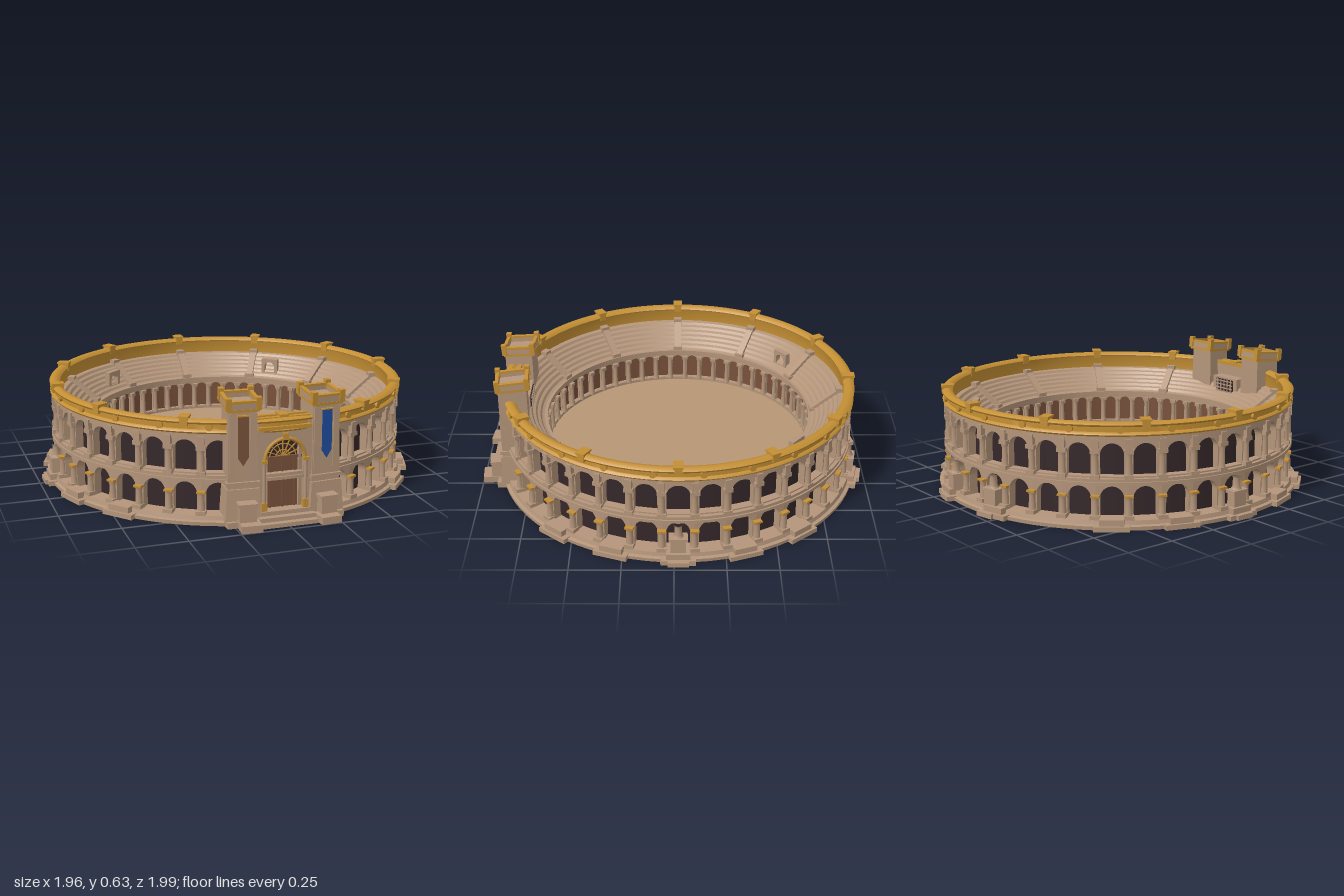
import * as THREE from 'three';
import { toCreasedNormals } from 'three/addons/utils/BufferGeometryUtils.js';

const mat = (name, color, side = THREE.FrontSide) => {
  const m = new THREE.MeshStandardMaterial({ color, side });
  m.name = name;
  return m;
};

export function createModel() {
  const stone = mat('stone', 0xb4957a);
  const sand = mat('sand', 0xb79675, THREE.DoubleSide);
  const gold = mat('gold', 0xc48f34);
  const shade = mat('dark opening', 0x35272a, THREE.DoubleSide);
  const wood = mat('brown wood', 0x79513b, THREE.DoubleSide);
  const blue = mat('blue banner', 0x1f4c9c, THREE.DoubleSide);

  const model = new THREE.Group();
  model.name = 'arena';
  const bowl = new THREE.Group();
  bowl.name = 'bowl';
  bowl.position.z = -0.02;
  const gate = new THREE.Group();
  gate.name = 'gate';
  model.add(bowl, gate);

  const add = (parent, name, geo, m, x = 0, y = 0, z = 0) => {
    const mesh = new THREE.Mesh(geo, m);
    mesh.name = name;
    mesh.position.set(x, y, z);
    parent.add(mesh);
    return mesh;
  };
  const box = (w, h, d) => new THREE.BoxGeometry(w, h, d);
  const lathe = (name, pts, m, crease = 0.5) => {
    const g = new THREE.LatheGeometry(pts.map(p => new THREE.Vector2(...p)), 80);
    return add(bowl, name, toCreasedNormals(g, crease), m);
  };
  // Closed ring with a rectangular section
  const band = (name, r0, r1, y0, y1, m) =>
    lathe(name, [[r0, y0], [r1, y0], [r1, y1], [r0, y1], [r0, y0]], m);
  // Place copies facing outward at given angles (0 = front)
  const place = (name, geo, m, angles, r, y) => {
    const g = new THREE.Group();
    g.name = name;
    bowl.add(g);
    for (const a of angles) {
      const o = add(g, name + 'Piece', geo, m, Math.sin(a) * r, y, Math.cos(a) * r);
      o.rotation.y = a;
    }
  };
  const around = (n, offset = 0, gap = 0) =>
    Array.from({ length: n }, (_, i) => (i + offset) / n * Math.PI * 2)
      .filter(a => Math.min(a, Math.PI * 2 - a) >= gap);
  // Flat wall piece with an arched hole, base at y = 0
  const archPanel = (w, h, ow, top, sill, depth) => {
    const s = new THREE.Shape();
    s.moveTo(-w / 2, 0); s.lineTo(w / 2, 0); s.lineTo(w / 2, h); s.lineTo(-w / 2, h); s.closePath();
    const hole = new THREE.Path(), r = ow / 2;
    hole.moveTo(-r, sill); hole.lineTo(-r, top - r);
    hole.absarc(0, top - r, r, Math.PI, 0, true);
    hole.lineTo(r, sill); hole.closePath();
    s.holes.push(hole);
    return new THREE.ExtrudeGeometry(s, { depth, bevelEnabled: false, curveSegments: 8 });
  };
  // Round column with flared foot and neck
  const column = (r, h) => new THREE.LatheGeometry([[1.35, 0], [1.3, 0.1], [1, 0.2], [0.85, 0.82], [1.2, 1]]
    .map(([x, y]) => new THREE.Vector2(x * r, y * h)), 10);

  // Floor, hollow underside and plinth
  lathe('floor', [[0.72, 0.12], [0, 0.12]], sand);
  lathe('underside', [[0, 0.105], [0.4, 0.1], [0.7, 0.075], [0.89, 0.012]], sand);
  lathe('plinth', [[0.885, 0.02], [0.892, 0], [0.94, 0], [0.942, 0.018], [0.925, 0.022], [0.92, 0.042],
    [0.8, 0.042]], stone);

  // Outer arcade in two storeys
  const N = 36, GAP = 0.14;
  const bays = around(N, 0, GAP), piers = around(N, 0.5, GAP);
  const width = 2 * 0.885 * Math.tan(Math.PI / N);
  lathe('arcadeShadow', [[0.838, 0.03], [0.838, 0.405]], shade);
  place('lowerArches', archPanel(width, 0.175, 0.112, 0.16, 0.006, 0.045), stone, bays, 0.84, 0.035);
  place('upperArches', archPanel(width, 0.183, 0.112, 0.17, 0.012, 0.042), stone, bays, 0.843, 0.23);
  place('lowerColumns', column(0.018, 0.11), stone, piers, 0.893, 0.04);
  place('upperColumns', column(0.017, 0.125), stone, piers, 0.89, 0.235);
  place('lowerBases', box(0.046, 0.022, 0.045), stone, piers, 0.897, 0.05);
  place('upperBases', box(0.042, 0.02, 0.04), stone, piers, 0.892, 0.243);
  place('lowerCapitals', box(0.042, 0.01, 0.038), gold, piers, 0.893, 0.15);
  place('upperCapitals', box(0.045, 0.02, 0.04), stone, piers, 0.89, 0.365);
  place('upperBrackets', box(0.032, 0.05, 0.035), stone, piers, 0.892, 0.4);
  band('stringCourse', 0.83, 0.913, 0.205, 0.22, stone);
  band('stringCourseLip', 0.83, 0.905, 0.22, 0.235, stone);
  band('frieze', 0.868, 0.902, 0.41, 0.44, stone);

  // Gilded parapet with rounded top, taller on its inner side
  lathe('parapet', [[0.864, 0.415], [0.88, 0.437], [0.908, 0.437], [0.914, 0.445], [0.908, 0.453], [0.9, 0.456],
    [0.9, 0.48], [0.912, 0.484], [0.915, 0.492], [0.905, 0.5], [0.89, 0.504], [0.872, 0.5], [0.86, 0.488],
    [0.864, 0.478], [0.864, 0.415]], gold, 0.9);
  const stud = new THREE.CylinderGeometry(0.018, 0.018, 0.02, 10).rotateX(Math.PI / 2);
  place('parapetStuds', stud, gold, around(24, 0.5, 0.2), 0.902, 0.469);
  const twelve = around(12, 0, 0.3);
  place('parapetBlocks', box(0.038, 0.04, 0.058), gold, twelve, 0.888, 0.492);
  place('parapetCaps', box(0.048, 0.01, 0.064), gold, twelve, 0.888, 0.513);

  // Seating in low steps, down to the inner wall
  const rows = [[0.868, 0.42], [0.84, 0.416]];
  for (let i = 0; i < 6; i++) {
    const r = 0.84 - i * 0.023, y = 0.416 - i * 0.0185;
    rows.push([r - 0.008, y - 0.0125], [r - 0.023, y - 0.0185]);
  }
  lathe('seating', rows, stone);
  const slope = Math.atan2(0.112, 0.14);
  place('stairs', box(0.036, 0.022, 0.18).rotateX(-slope), stone, twelve, 0.772, 0.364);
  place('stairHeads', box(0.044, 0.028, 0.035), stone, twelve, 0.846, 0.425);
  place('stairFeet', box(0.05, 0.03, 0.035), stone, twelve, 0.712, 0.31);

  // Two open doorways set in the seating
  const doorAngles = [Math.PI - 0.68, Math.PI + 0.68];
  place('seatingDoors', archPanel(0.095, 0.08, 0.06, 0.062, 0.004, 0.03), stone, doorAngles, 0.735, 0.33);

  // Inner wall with its small colonnade
  lathe('innerWall', [[0.715, 0.3], [0.715, 0.11]], wood);
  band('innerCornice', 0.688, 0.72, 0.287, 0.306, stone);
  band('innerKerb', 0.688, 0.72, 0.115, 0.135, stone);
  const inner = around(52, 0.5);
  const innerWidth = 2 * 0.7 * Math.tan(Math.PI / 52);
  place('innerArches', archPanel(innerWidth, 0.16, 0.06, 0.142, 0.006, 0.012), stone, around(52), 0.696, 0.13);
  place('innerColumns', column(0.012, 0.13), stone, inner, 0.692, 0.13);
  place('innerCapitals', box(0.03, 0.016, 0.025), stone, inner, 0.692, 0.262);

  // Buttress pads around the foot
  const deg = Math.PI / 180;
  const mirrored = list => list.flatMap(d => [d * deg, -d * deg]);
  const pads = mirrored([50, 70, 90, 110, 130, 167]), main = mirrored([90, 169]);
  place('buttressPads', box(0.17, 0.024, 0.08), stone, pads, 0.925, 0.012);
  place('buttressSteps', box(0.115, 0.03, 0.065), stone, pads, 0.92, 0.038);
  place('buttressToes', box(0.1, 0.024, 0.06), stone, main, 0.948, 0.012);
  place('buttressPedestals', box(0.075, 0.07, 0.05), stone, main, 0.912, 0.085);
  place('buttressCaps', box(0.09, 0.016, 0.06), stone, main, 0.912, 0.125);
  place('buttressPosts', column(0.02, 0.07), stone, main, 0.908, 0.13);

  // Gate platform and steps
  add(gate, 'gatePlatform', box(0.58, 0.03, 0.12), stone, 0, 0.015, 0.86);
  for (let i = 0; i < 3; i++)
    add(gate, 'gateStep', box(0.28, 0.02 * (i + 1), 0.16 - i * 0.03), stone, 0, 0.01 * (i + 1), 0.89 - i * 0.015);

  // Gate front: arch, door and grille
  add(gate, 'gateArch', archPanel(0.3, 0.41, 0.19, 0.355, 0.004, 0.07), stone, 0, 0.045, 0.815);
  add(gate, 'door', box(0.19, 0.25, 0.008), wood, 0, 0.18, 0.85);
  for (const x of [-0.06, 0, 0.06]) add(gate, 'doorPlank', box(0.008, 0.25, 0.008), wood, x, 0.18, 0.857);
  add(gate, 'grilleShadow', new THREE.CircleGeometry(0.096, 20, 0, Math.PI), shade, 0, 0.305, 0.85);
  for (let i = 1; i < 8; i++) {
    const a = i / 8 * Math.PI;
    const bar = add(gate, 'grilleBar', box(0.092, 0.004, 0.006), gold, Math.cos(a) * 0.046, 0.305 + Math.sin(a) * 0.046, 0.856);
    bar.rotation.z = a;
  }
  for (const r of [0.035, 0.065])
    add(gate, 'grilleArc', new THREE.TorusGeometry(r, 0.003, 5, 18, Math.PI), gold, 0, 0.305, 0.857);
  add(gate, 'doorLintel', box(0.19, 0.012, 0.012), wood, 0, 0.305, 0.857);
  add(gate, 'archTrim', new THREE.TorusGeometry(0.099, 0.009, 6, 24, Math.PI), gold, 0, 0.305, 0.887);
  for (const s of [-1, 1]) {
    add(gate, 'doorPost', column(0.009, 0.24), stone, s * 0.103, 0.06, 0.89);
    add(gate, 'doorPostFoot', box(0.026, 0.04, 0.024), gold, s * 0.103, 0.08, 0.89);
    add(gate, 'doorPostCap', box(0.026, 0.014, 0.024), gold, s * 0.103, 0.3, 0.89);
  }
  add(gate, 'keystone', box(0.026, 0.032, 0.02), gold, 0, 0.415, 0.89);
  add(gate, 'gateFrieze', box(0.26, 0.05, 0.06), stone, 0, 0.47, 0.842);
  add(gate, 'gateLintel', box(0.26, 0.018, 0.025), gold, 0, 0.455, 0.878);
  for (const z of [0.82, 0.865]) add(gate, 'gateRail', box(0.26, 0.018, 0.02), gold, 0, 0.497, z);
  add(gate, 'gateCrest', box(0.045, 0.02, 0.065), gold, 0, 0.505, 0.843);

  // Grille on the arena side of the gate
  add(gate, 'backGrilleFrame', box(0.19, 0.14, 0.07), stone, 0, 0.36, 0.785);
  add(gate, 'backGrilleShadow', box(0.13, 0.1, 0.006), shade, 0, 0.37, 0.748);
  for (let i = -2; i <= 2; i++) {
    add(gate, 'backGrilleBar', box(0.005, 0.1, 0.006), stone, i * 0.026, 0.37, 0.743);
    add(gate, 'backGrilleRail', box(0.13, 0.005, 0.006), stone, 0, 0.37 + i * 0.02, 0.743);
  }

  // Four-sided tapered block, given its full widths
  const taper = (top, bottom, h) => toCreasedNormals(
    new THREE.CylinderGeometry(top / Math.SQRT2, bottom / Math.SQRT2, h, 4, 1, false, Math.PI / 4), 0.5);
  const pennant = new THREE.Shape();
  [[-0.026, 0.12], [-0.026, -0.08], [0, -0.12], [0.026, -0.08], [0.026, 0.12]]
    .forEach(([x, y], i) => (i ? pennant.lineTo(x, y) : pennant.moveTo(x, y)));

  // Mirrored gate towers
  for (const s of [-1, 1]) {
    const tower = new THREE.Group();
    tower.name = s > 0 ? 'leftTower' : 'rightTower';
    tower.position.set(s * 0.2, 0, 0.815);
    tower.rotation.y = s * 0.08;
    gate.add(tower);
    add(tower, 'towerShaft', taper(0.135, 0.15, 0.53), stone, 0, 0.295, 0);
    add(tower, 'towerPlinth', taper(0.155, 0.175, 0.16), stone, 0, 0.1, 0.005);
    add(tower, 'towerPlinthCap', box(0.16, 0.018, 0.165), stone, 0, 0.205, 0.002);
    add(tower, 'towerFoot', box(0.1, 0.035, 0.12), stone, -s * 0.018, 0.018, 0.125);
    add(tower, 'towerPedestal', box(0.08, 0.075, 0.05), stone, -s * 0.01, 0.075, 0.115);
    add(tower, 'towerPedestalCap', box(0.092, 0.016, 0.06), stone, -s * 0.01, 0.118, 0.115);
    // Recessed panel with its frame and hanging
    for (const x of [-0.05, 0.05]) add(tower, 'panelPost', box(0.03, 0.32, 0.02), stone, x, 0.38, 0.066);
    add(tower, 'panelHead', box(0.12, 0.02, 0.024), stone, 0, 0.545, 0.066);
    add(tower, 'panelHanging', new THREE.ShapeGeometry(pennant), s > 0 ? blue : wood, 0, 0.41, 0.077);
    add(tower, 'panelRod', box(0.06, 0.006, 0.012), gold, 0, 0.53, 0.078);
    // Hollow crown, tilted slightly back
    const crown = new THREE.Group();
    crown.name = 'towerCrown';
    crown.position.y = 0.56;
    crown.rotation.x = 0.09;
    tower.add(crown);
    add(crown, 'crownMoulding', box(0.152, 0.014, 0.165), gold, 0, 0.002, 0);
    add(crown, 'crownFloor', box(0.14, 0.006, 0.15), stone, 0, 0.013, 0);
    for (const k of [-1, 1]) {
      add(crown, 'crownWall', box(0.15, 0.03, 0.014), stone, 0, 0.024, k * 0.074);
      add(crown, 'crownSideWall', box(0.014, 0.03, 0.15), stone, k * 0.07, 0.024, 0);
      add(crown, 'crownRail', box(0.155, 0.012, 0.018), gold, 0, 0.043, k * 0.075);
      add(crown, 'crownSideRail', box(0.018, 0.012, 0.16), gold, k * 0.071, 0.043, 0);
      for (const j of [-1, 1]) add(crown, 'crownPost', box(0.026, 0.06, 0.026), gold, k * 0.071, 0.035, j * 0.075);
    }
  }
  return model;
}
